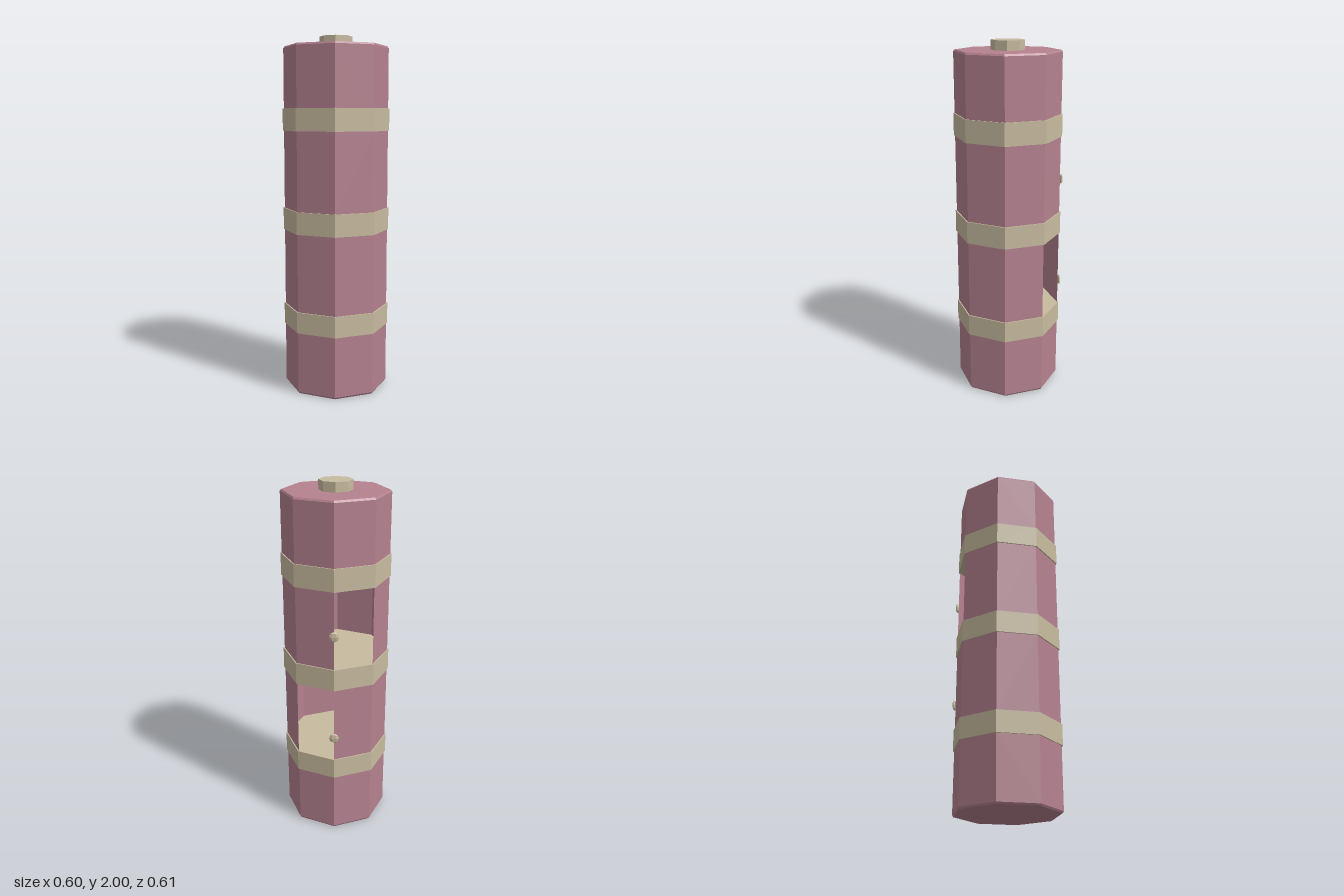
import * as THREE from 'three';

const SIDES = 8, R = 0.295, BAND_R = 0.302, BEVEL = 0.007;

export function createModel() {
  const model = new THREE.Group();
  const pink = new THREE.MeshStandardMaterial({ color: 0xb58290, flatShading: true });
  pink.name = 'dustyPink';
  const pinkShell = pink.clone();
  pinkShell.side = THREE.DoubleSide;
  const tan = new THREE.MeshStandardMaterial({ color: 0xc8bb9f, flatShading: true });
  tan.name = 'tan';

  const add = (name, geometry, material, y, z = 0) => {
    const mesh = new THREE.Mesh(geometry, material);
    mesh.name = name;
    mesh.position.set(0, y, z + 0.003);
    model.add(mesh);
    return mesh;
  };

  // Solid octagonal prism between two heights
  const prism = (name, radius, y0, y1, material) =>
    add(name, new THREE.CylinderGeometry(radius, radius, y1 - y0, SIDES), material, (y0 + y1) / 2);

  // Closed end sections with a tiny bevel on the outer rim
  const endSection = (name, points) =>
    add(name, new THREE.LatheGeometry(points.map(([r, y]) => new THREE.Vector2(r, y)), SIDES), pinkShell, 0);
  endSection('bottomSection', [[0, 0], [R - BEVEL, 0], [R, 0.01], [R, 0.36]]);
  endSection('topSection', [[R, 1.6], [R, 1.937], [R - BEVEL, 1.947], [0, 1.947]]);

  // Thin-walled chambers, each missing one face at the back
  const chamber = (name, y0, y1, startDegrees) =>
    add(name, new THREE.CylinderGeometry(R, R, y1 - y0, SIDES - 1, 1, true,
      THREE.MathUtils.degToRad(startDegrees), Math.PI * 1.75), pinkShell, (y0 + y1) / 2);
  chamber('lowerChamber', 0.47, 0.92, 180);
  chamber('upperChamber', 1.035, 1.485, 225);

  // Solid bands, which are also the chamber floors and ceilings
  [[0.355, 0.475], [0.915, 1.04], [1.48, 1.605]].forEach(([y0, y1], i) =>
    prism(`band${i + 1}`, BAND_R, y0, y1, tan));

  // Top stub
  prism('topStub', 0.092, 1.94, 2, tan);

  // Flattened knobs beside the openings
  for (const [name, y] of [['lowerKnob', 0.62], ['upperKnob', 1.235]]) {
    add(name, new THREE.SphereGeometry(0.028, 6, 4), tan, y, -0.302).scale.set(1, 1.05, 0.33);
  }
  return model;
}
